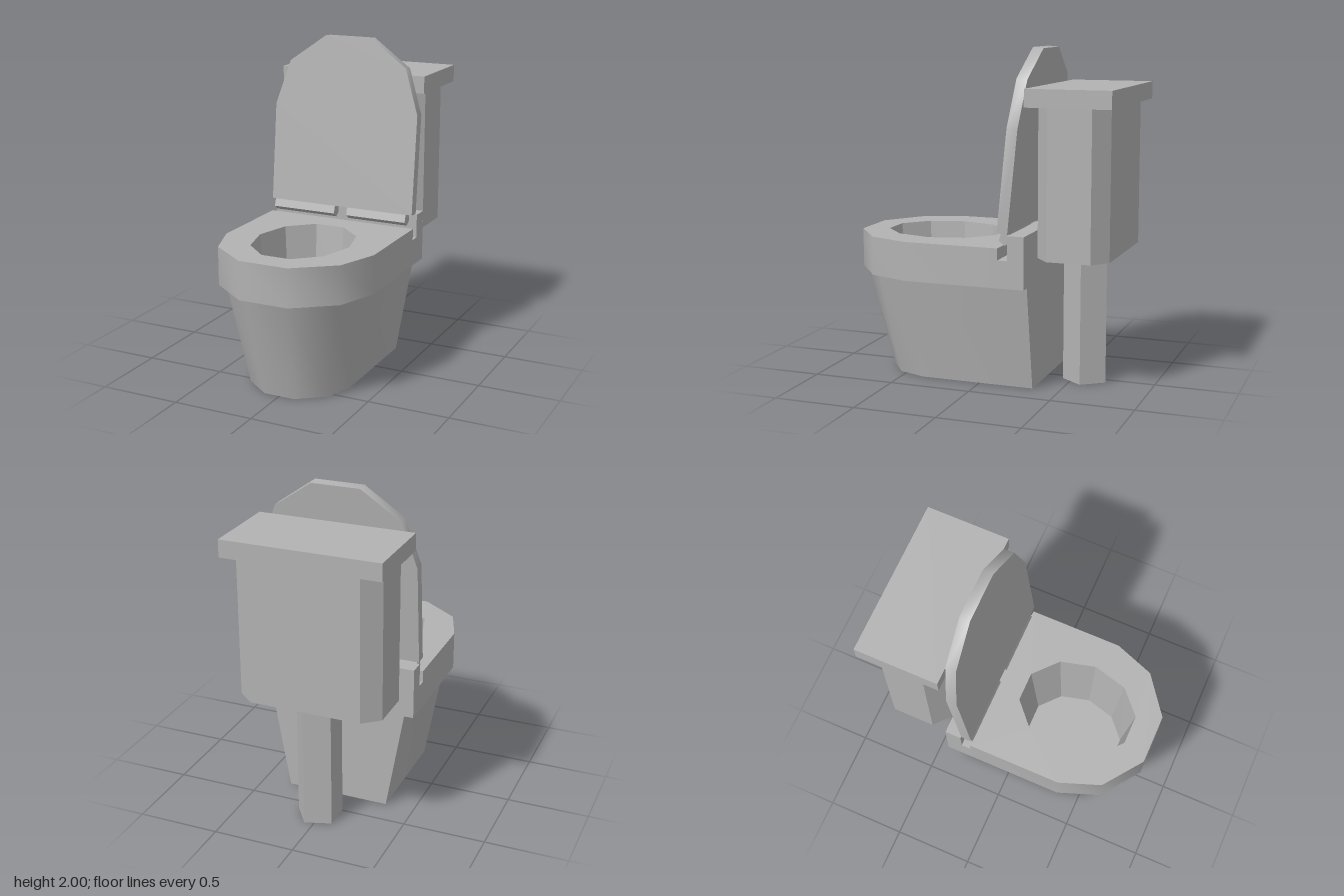
import * as THREE from 'three';
import { toCreasedNormals } from 'three/addons/utils/BufferGeometryUtils.js';

const CREASE = 0.75;

// Closed outline from its +x half, ordered from the back to the front: [x, z]
const mirror = (half) => [...half, ...half.slice().reverse().map(([x, z]) => [-x, z])];

// Regular polygon or ellipse outline
const ring = (n, rx, rz, cx = 0, cz = 0) => Array.from({ length: n }, (_, i) => {
  const a = (i / n) * Math.PI * 2;
  return [cx + rx * Math.cos(a), cz + rz * Math.sin(a)];
});

// Skin between two outlines at heights y0 and y1, with optional flat ends
function loft(low, y0, high, y1, capFirst = true, capLast = true) {
  const pos = [];
  const n = low.length;
  const a = (i) => [low[i % n][0], y0, low[i % n][1]];
  const b = (i) => [high[i % n][0], y1, high[i % n][1]];
  for (let i = 0; i < n; i++) {
    pos.push(...a(i), ...b(i), ...b(i + 1), ...a(i), ...b(i + 1), ...a(i + 1));
  }
  for (let i = 1; i < n - 1; i++) {
    if (capFirst) pos.push(...a(0), ...a(i), ...a(i + 1));
    if (capLast) pos.push(...b(0), ...b(i + 1), ...b(i));
  }
  const g = new THREE.BufferGeometry();
  g.setAttribute('position', new THREE.Float32BufferAttribute(pos, 3));
  g.computeVertexNormals();
  return g;
}

const vectors = (pts, sign = 1) => pts.map(([x, y]) => new THREE.Vector2(x, sign * y));

export function createModel() {
  const model = new THREE.Group();
  model.name = 'toilet';
  const ceramic = new THREE.MeshStandardMaterial({ color: 0xb2b2b2 });
  ceramic.name = 'grey ceramic';

  const add = (name, geometry, x = 0, y = 0, z = 0) => {
    const mesh = new THREE.Mesh(geometry, ceramic);
    mesh.name = name;
    mesh.position.set(x, y, z);
    model.add(mesh);
    return mesh;
  };

  // Tapered pedestal with an upright back
  const foot = mirror([[0.32, -0.335], [0.32, 0.37], [0.26, 0.54], [0.1, 0.66]]);
  const neck = mirror([[0.43, -0.335], [0.43, 0.4], [0.355, 0.64], [0.14, 0.81]]);
  add('pedestal', toCreasedNormals(loft(foot, 0, neck, 0.63, true, false), CREASE));

  // Rim with the bowl opening
  const mouth = ring(10, 0.297, 0.37, 0, 0.333);
  const rimShape = new THREE.Shape(vectors(
    mirror([[0.487, -0.175], [0.487, 0.41], [0.395, 0.66], [0.155, 0.838]]), -1));
  rimShape.holes.push(new THREE.Path(vectors(mouth, -1)));
  const rim = new THREE.ExtrudeGeometry(rimShape, { depth: 0.235, bevelEnabled: false });
  rim.rotateX(-Math.PI / 2);
  add('rim', toCreasedNormals(rim, CREASE), 0, 0.63, 0);

  // Hinge slot floor and raised ledge at the back of the rim
  add('hingeSlot', new THREE.BoxGeometry(0.974, 0.165, 0.06), 0, 0.7125, -0.205);
  add('backLedge', new THREE.BoxGeometry(0.974, 0.31, 0.1), 0, 0.785, -0.285);

  // Inside of the bowl, facing inwards, with a floor
  add('bowl', loft(mouth, 0.865, ring(10, 0.25, 0.307, 0, 0.333), 0.35, false, true));

  // Five-sided hinge bars
  for (const [name, x0, x1] of [['rightHinge', -0.465, -0.045], ['leftHinge', 0.04, 0.435]]) {
    const bar = loft(ring(5, 0.04, 0.04), x0, ring(5, 0.04, 0.04), x1);
    bar.rotateZ(-Math.PI / 2);
    add(name, bar, 0, 0.912, -0.203);
  }

  // Raised lid, leaning back
  const lidShape = new THREE.Shape(vectors(
    mirror([[0.48, 0], [0.48, 0.61], [0.39, 0.885], [0.15, 1.055]])));
  const lid = new THREE.ExtrudeGeometry(lidShape, { depth: 0.065, bevelEnabled: false });
  add('lid', toCreasedNormals(lid, CREASE), 0, 0.945, -0.232).rotation.x = -0.1;

  // Water tank with cut corners, and its cover
  const tank = mirror([[0.34, -0.8], [0.44, -0.715], [0.44, -0.455], [0.34, -0.37]]);
  add('tank', loft(tank, 0.795, tank, 1.675));
  add('tankCover', new THREE.BoxGeometry(0.96, 0.105, 0.508), 0, 1.7275, -0.584);

  // Five-sided pipe under the tank
  const pipe = ring(5, 0.14, 0.14, 0.0135, -0.577);
  add('pipe', loft(pipe, 0, pipe, 0.795));

  return model;
}
